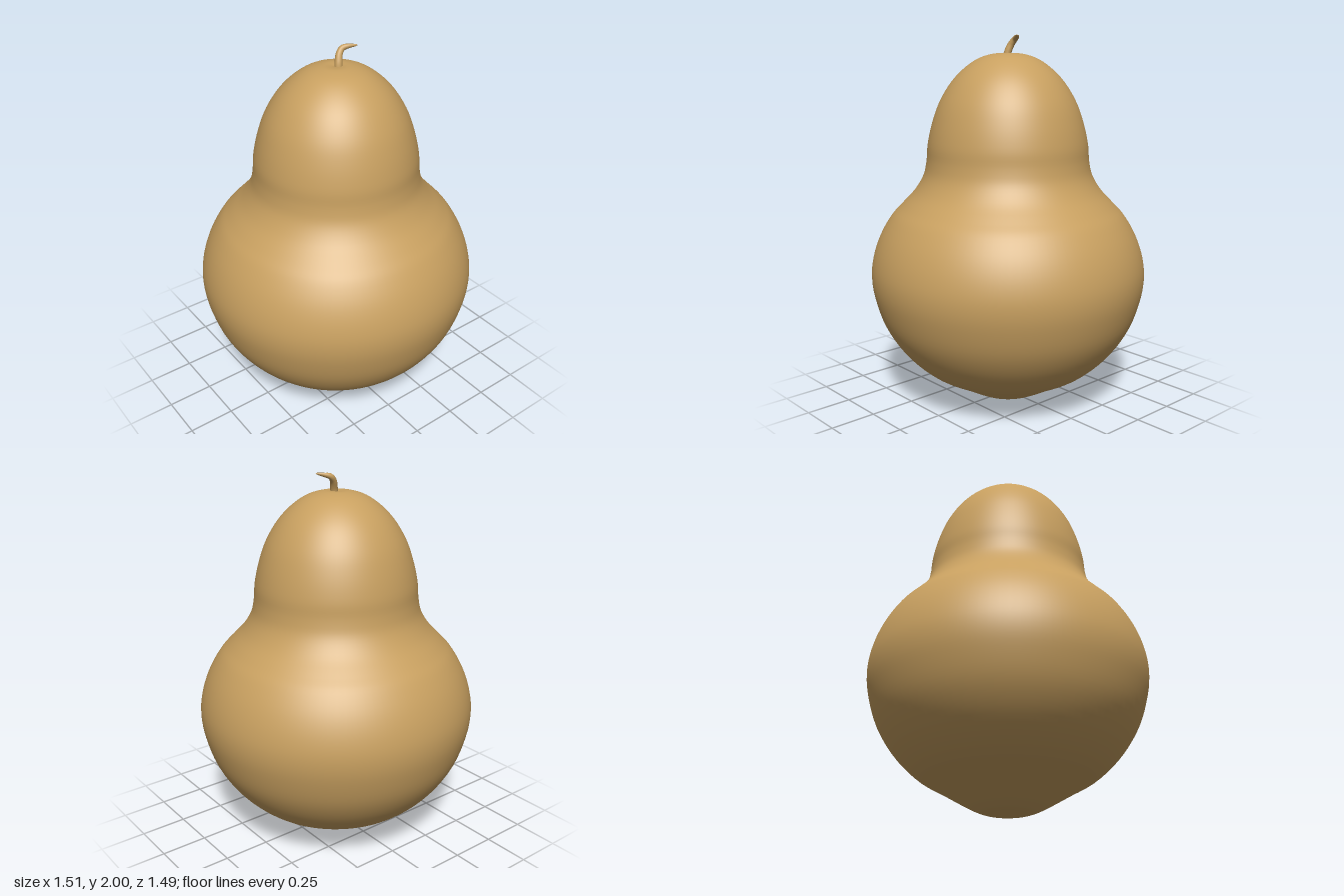
import * as THREE from 'three';

const skin = new THREE.MeshStandardMaterial({ color: 0xc8a060 });

// Gourd body: a smooth profile turned about the y axis
function makeBody() {
  const profile = [
    [0, 0.015], [0.05, 0.008], [0.1, 0.004], [0.15, 0.015], [0.22, 0.047], [0.35, 0.12],
    [0.48, 0.195], [0.6, 0.31], [0.69, 0.45], [0.74, 0.6], [0.755, 0.72],
    [0.74, 0.83], [0.7, 0.94], [0.64, 1.04], [0.58, 1.105], [0.51, 1.18],
    [0.462, 1.26], [0.443, 1.34], [0.435, 1.43], [0.41, 1.54], [0.37, 1.65],
    [0.31, 1.75], [0.24, 1.825], [0.16, 1.88], [0.08, 1.905], [0.03, 1.906], [0, 1.9],
  ].map(([r, y]) => new THREE.Vector2(r, y));
  const points = new THREE.SplineCurve(profile).getPoints(110);
  points.forEach((p) => { p.x = Math.max(p.x, 0); p.y = Math.max(p.y, 0); });
  const body = new THREE.Mesh(new THREE.LatheGeometry(points, 96), skin);
  body.scale.z = 0.99;
  body.name = 'gourdBody';
  return body;
}

// Curled stem: a tube whose rings shrink towards a pointed tip
function makeStem() {
  const path = new THREE.CatmullRomCurve3([
    [0.005, 1.885, 0.012], [0.01, 1.92, 0.006], [0.023, 1.957, -0.006],
    [0.045, 1.981, -0.011], [0.075, 1.992, 0.004], [0.107, 1.998, 0.034],
  ].map((p) => new THREE.Vector3(...p)));
  const rings = 32, sides = 16;
  const geometry = new THREE.TubeGeometry(path, rings, 0.021, sides);
  const pos = geometry.attributes.position;
  const v = new THREE.Vector3();
  for (let i = 0; i <= rings; i++) {
    const t = i / rings;
    const centre = path.getPointAt(t);
    const taper = (1 - 0.3 * t) * Math.sqrt(1 - t ** 3);
    for (let j = 0; j <= sides; j++) {
      const k = i * (sides + 1) + j;
      v.fromBufferAttribute(pos, k).sub(centre).multiplyScalar(taper).add(centre);
      pos.setXYZ(k, v.x, Math.min(v.y, 2), v.z);
    }
  }
  const stem = new THREE.Mesh(geometry, skin);
  stem.name = 'stem';
  return stem;
}

export function createModel() {
  const group = new THREE.Group();
  group.name = 'gourd';
  group.add(makeBody(), makeStem());
  return group;
}
